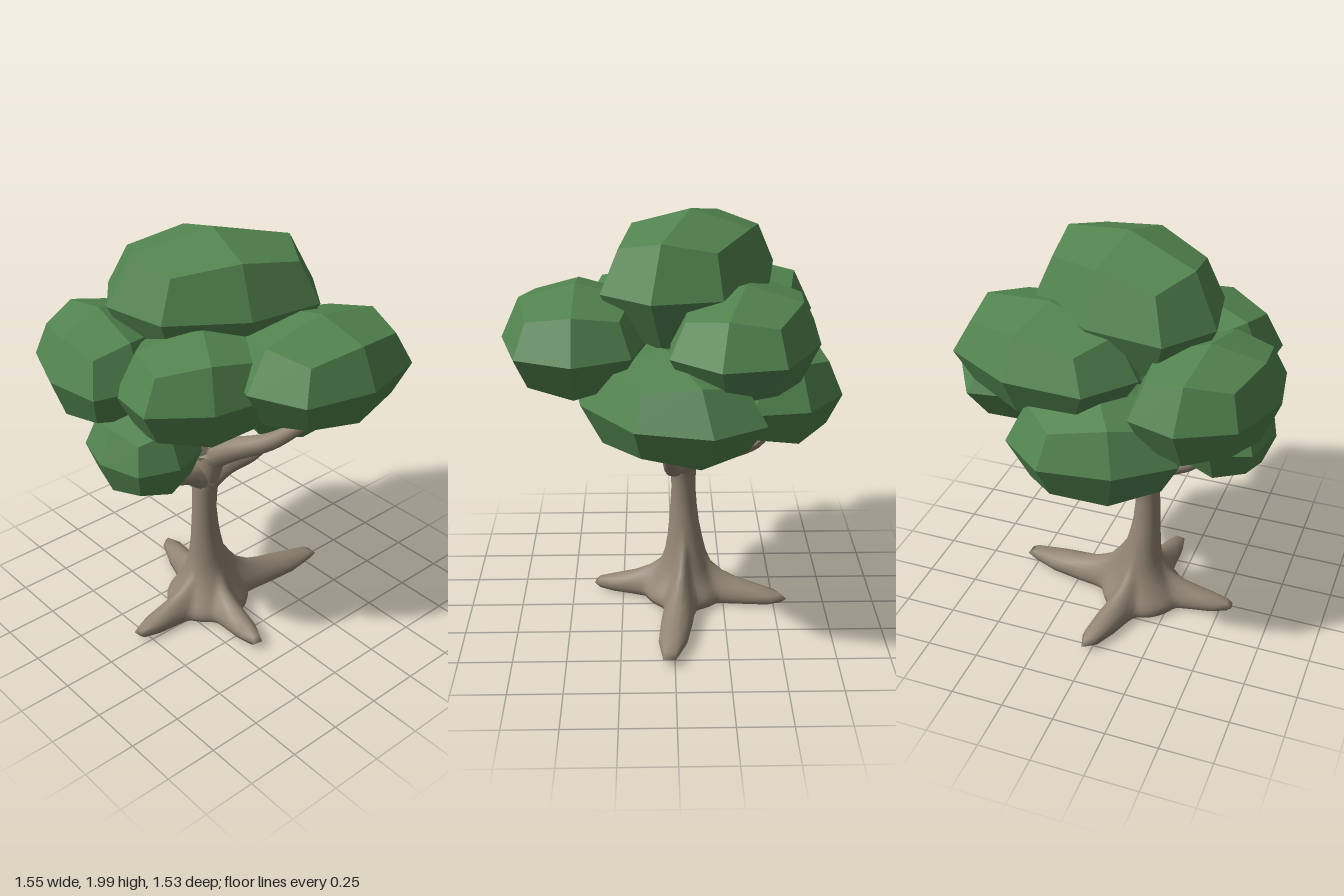
import * as THREE from 'three';

const bark = new THREE.MeshStandardMaterial({ color: 0x938574 });
const leaf = new THREE.MeshStandardMaterial({ color: 0x52844f, flatShading: true });

// Root tips as [dx, dz] from the foot of the trunk
const ROOTS = [[0.67, 0.09], [-0.06, 0.46], [-0.47, 0.02], [0.13, -0.5]]
  .map(([x, z]) => ({ angle: Math.atan2(z, x), reach: Math.hypot(x, z) }));

// Trunk levels: y, centre x, centre z, radius, share of the root reach
const LEVELS = [
  [0.012, -0.1, -0.06, 0, 0],
  [0.012, -0.1, -0.06, 0.17, 0.7],
  [0.028, -0.1, -0.06, 0.2, 0.95],
  [0.052, -0.1, -0.06, 0.205, 1.01],
  [0.075, -0.1, -0.06, 0.198, 0.96],
  [0.1, -0.1, -0.06, 0.182, 0.78],
  [0.13, -0.1, -0.06, 0.16, 0.55],
  [0.165, -0.1, -0.06, 0.14, 0.38],
  [0.21, -0.096, -0.062, 0.118, 0.26],
  [0.27, -0.096, -0.062, 0.1, 0.19],
  [0.34, -0.102, -0.06, 0.086, 0.13],
  [0.42, -0.11, -0.056, 0.074, 0],
  [0.5, -0.117, -0.054, 0.066, 0],
  [0.6, -0.12, -0.053, 0.059, 0],
  [0.7, -0.116, -0.053, 0.061, 0],
  [0.78, -0.105, -0.053, 0.072, 0],
  [0.86, -0.092, -0.053, 0.077, 0],
  [0.94, -0.08, -0.05, 0.075, 0],
  [0.99, -0.075, -0.05, 0.055, 0],
  [1.01, -0.075, -0.05, 0, 0],
];

// Trunk skin whose lower cross-sections swell out into the roots
function trunkGeometry(sides = 72) {
  const pos = [], index = [];
  LEVELS.forEach(([y, cx, cz, r, share], i) => {
    for (let j = 0; j < sides; j++) {
      const t = (j / sides) * Math.PI * 2;
      let radius = r;
      for (const { angle, reach } of ROOTS) {
        const d = Math.atan2(Math.sin(t - angle), Math.cos(t - angle));
        const swell = Math.max(0, reach * share - r);
        radius += swell * Math.exp(-((d / 0.2) ** 2));
      }
      pos.push(cx + radius * Math.cos(t), y, cz + radius * Math.sin(t));
      if (i === LEVELS.length - 1) continue;
      const a = i * sides + j, b = i * sides + ((j + 1) % sides);
      index.push(a, a + sides, b, b, a + sides, b + sides);
    }
  });
  const g = new THREE.BufferGeometry();
  g.setAttribute('position', new THREE.Float32BufferAttribute(pos, 3));
  g.setIndex(index);
  g.computeVertexNormals();
  return g;
}

// Tapered branch along a smooth path
function branchGeometry(points, r0, r1, n = 18, sides = 12) {
  const curve = new THREE.CatmullRomCurve3(points.map((p) => new THREE.Vector3(...p)));
  const g = new THREE.TubeGeometry(curve, n, 1, sides);
  const p = g.attributes.position, v = new THREE.Vector3();
  for (let i = 0; i <= n; i++) {
    const c = curve.getPointAt(i / n);
    const r = i === n ? 0.002 : r0 + (r1 - r0) * (i / n) ** 0.8;
    for (let j = 0; j <= sides; j++) {
      const k = i * (sides + 1) + j;
      v.fromBufferAttribute(p, k).sub(c).multiplyScalar(r).add(c);
      p.setXYZ(k, v.x, v.y, v.z);
    }
  }
  g.computeVertexNormals();
  return g;
}

// Path, start radius, end radius
const BRANCHES = {
  lowerRightBranch: [[[-0.1, 0.75, -0.05], [-0.2, 0.815, -0.05], [-0.33, 0.865, -0.04], [-0.42, 0.97, -0.03], [-0.46, 1.05, -0.03]], 0.066, 0.02],
  lowerLeftBranch: [[[-0.12, 0.75, -0.05], [0, 0.8, -0.03], [0.14, 0.825, 0], [0.27, 0.915, 0.02], [0.37, 1.05, 0.03]], 0.068, 0.02],
  lowerBackBranch: [[[-0.1, 0.74, -0.04], [-0.08, 0.79, -0.15], [-0.06, 0.82, -0.27], [-0.03, 0.88, -0.4], [0, 1.0, -0.47]], 0.063, 0.02],
  frontBranch: [[[-0.09, 0.87, -0.06], [-0.06, 0.96, 0.08], [0.01, 1.07, 0.28], [0.11, 1.26, 0.48]], 0.075, 0.022],
  upperRightBranch: [[[-0.08, 0.88, -0.05], [-0.17, 1.0, -0.1], [-0.3, 1.11, -0.2], [-0.43, 1.26, -0.3]], 0.08, 0.025],
  upperLeftBranch: [[[-0.09, 0.86, -0.05], [-0.02, 1.0, -0.1], [0.08, 1.14, -0.18], [0.19, 1.34, -0.27]], 0.1, 0.02],
};

// Leaf clump: a cube rounded into 24 flat kites, stretched along two level axes and upwards
function clumpGeometry([x, y, z], [ax, az], [bx, bz], h) {
  const g = new THREE.BoxGeometry(2, 2, 2, 2, 2, 2);
  const p = g.attributes.position, v = new THREE.Vector3();
  const shrink = [0, 1, 0.75, 0.6];
  for (let i = 0; i < p.count; i++) {
    v.fromBufferAttribute(p, i);
    v.multiplyScalar(shrink[Math.round(v.lengthSq())]);
    p.setXYZ(i, x + v.x * ax + v.z * bx, y + v.y * h, z + v.x * az + v.z * bz);
  }
  g.computeVertexNormals();
  return g;
}

// Centre, first level axis [x, z], second level axis [x, z], half height
const CLUMPS = {
  topClump: [[-0.036, 1.69, -0.08], [0.445, 0.18], [-0.075, 0.35], 0.31],
  frontClump: [[0.138, 1.47, 0.43], [0.423, 0], [0, 0.33], 0.242],
  backLeftClump: [[0.243, 1.49, -0.31], [0.445, 0.125], [-0.085, 0.32], 0.24],
  frontRightClump: [[-0.27, 1.41, 0.13], [0.36, 0.15], [-0.16, 0.27], 0.255],
  leftClump: [[0.34, 1.236, 0.037], [0.43, -0.19], [0.04, 0.37], 0.24],
  backRightClump: [[-0.478, 1.416, -0.325], [0.3, -0.04], [-0.045, 0.36], 0.25],
  lowRightClump: [[-0.48, 1.09, -0.035], [0.235, 0], [0, 0.26], 0.207],
  backClump: [[-0.02, 1.18, -0.45], [0.366, -0.148], [0.166, 0.275], 0.25],
};

export function createModel() {
  const tree = new THREE.Group();
  tree.name = 'tree';
  const add = (name, geometry, material) => {
    const mesh = new THREE.Mesh(geometry, material);
    mesh.name = name;
    tree.add(mesh);
  };
  add('trunkAndRoots', trunkGeometry(), bark);
  for (const [name, args] of Object.entries(BRANCHES)) add(name, branchGeometry(...args), bark);
  for (const [name, args] of Object.entries(CLUMPS)) add(name, clumpGeometry(...args), leaf);
  return tree;
}
